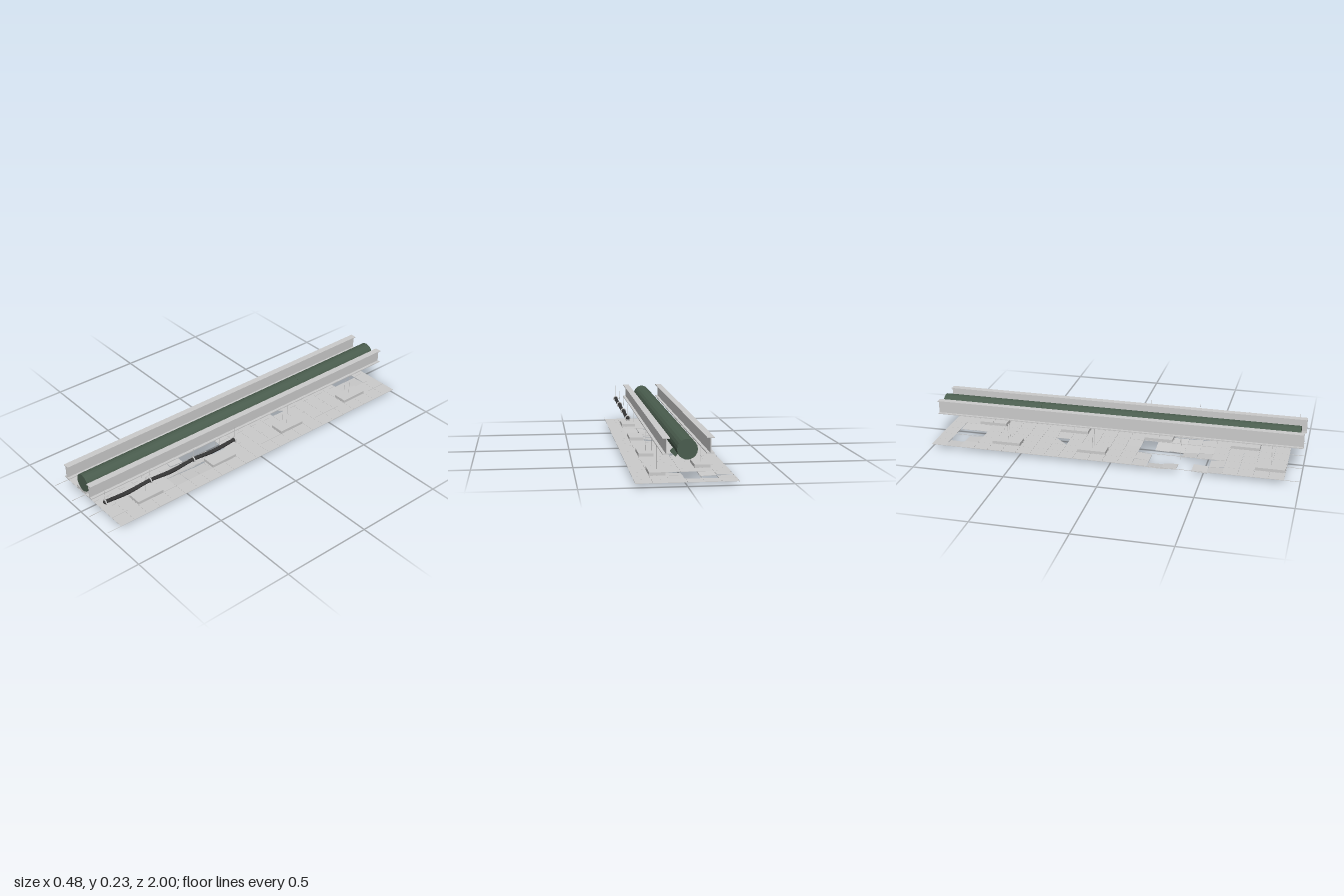
import * as THREE from 'three';

const grey = new THREE.MeshStandardMaterial({ color: 0xcccccc, side: THREE.DoubleSide });
const green = new THREE.MeshStandardMaterial({ color: 0x4a5d4e, flatShading: true });
const dark = new THREE.MeshStandardMaterial({ color: 0x383838 });

export function createModel() {
  const root = new THREE.Group();
  const add = (name, geo, mat, x = 0, y = 0, z = 0) => {
    const m = new THREE.Mesh(geo, mat);
    m.name = name;
    m.position.set(x, y, z);
    root.add(m);
    return m;
  };
  const box = (name, w, h, d, x, y, z, mat = grey) =>
    add(name, new THREE.BoxGeometry(w, h, d), mat, x, y, z);
  const wire = (name, x, y0, y1, z) =>
    box(name, 0.0012, y1 - y0, 0.0012, x, (y0 + y1) / 2, z);

  // I-beams: one section extruded along z
  const section = new THREE.Shape();
  const half = [[0.0175, 0.152], [0.0175, 0.1565], [0.0025, 0.1565],
    [0.0025, 0.2235], [0.0175, 0.2235], [0.0175, 0.228]];
  const outline = [...half, ...half.map(([x, y]) => [-x, y]).reverse()];
  section.setFromPoints(outline.map(([x, y]) => new THREE.Vector2(x, y)));
  for (const x of [-0.1055, 0.0985]) {
    add('beam', new THREE.ExtrudeGeometry(section, { depth: 2, bevelEnabled: false }), grey, x, 0, -1);
  }

  // Round duct in two lengths, with pairs of slanted saddle blocks
  for (const [z0, z1] of [[-1, -0.4345], [-0.4335, 0.975]]) {
    const geo = new THREE.CylinderGeometry(0.048, 0.048, z1 - z0, 20).rotateX(Math.PI / 2);
    add('duct', geo, green, 0.002, 0.175, (z0 + z1) / 2);
  }
  for (const z of [-0.855, 0.085, 0.93]) {
    for (const s of [-1, 1]) {
      const b = box('ductSaddle', 0.028, 0.036, 0.048, 0.002 + s * 0.036, 0.141, z, green);
      b.rotation.z = s * Math.PI / 4;
    }
  }

  // Ceiling grid runners
  for (const x of [-0.24, -0.08, 0.08, 0.24]) {
    box('gridRunner', 0.002, 0.002, 2, x - 0.001, 0.0215, 0);
  }

  // Ceiling tiles: 24 rows by 6 columns, some missing, some hanging loose
  const missing = new Set(['1,1', '1,2', '2,2', '14,2', '14,3', '15,1', '16,1', '17,1',
    '15,2', '16,2', '17,0', '18,1']);
  const loose = { // tilt about x, tilt about z, drop
    '14,0': [0.05, -0.03, 0.003], '15,0': [0.02, -0.15, 0.012], '16,0': [-0.06, -0.08, 0.007],
    '18,0': [0.05, 0.04, 0.003], '19,0': [-0.05, -0.06, 0.004], '14,1': [0.08, 0, 0.003],
    '19,1': [-0.09, 0.02, 0.004], '17,2': [-0.06, -0.12, 0.007], '18,2': [-0.07, -0.08, 0.006],
    '15,3': [0.02, 0.15, 0.012], '16,3': [0.05, 0.13, 0.011], '17,3': [-0.04, 0.12, 0.01],
    '18,3': [-0.05, 0.06, 0.006], '13,2': [0.04, 0, 0.002], '13,3': [0.04, 0.02, 0.002],
    '15,4': [0.04, 0.1, 0.008], '16,4': [0, 0.12, 0.009], '17,4': [-0.05, 0.08, 0.007],
    '18,4': [-0.06, 0.04, 0.004], '1,0': [0.03, -0.06, 0.003], '2,1': [-0.05, -0.04, 0.003],
    '1,3': [0, 0.06, 0.003], '2,3': [0.03, 0.05, 0.003],
  };
  const tileGeo = new THREE.BoxGeometry(0.0792, 0.0015, 0.0792);
  const corner = new THREE.Shape();
  corner.moveTo(-0.0396, 0.0396);
  corner.lineTo(0.0396, 0.0396);
  corner.lineTo(-0.0396, -0.0396);
  const brokenGeo = new THREE.ExtrudeGeometry(corner, { depth: 0.0015, bevelEnabled: false })
    .rotateX(-Math.PI / 2);
  for (let r = 0; r < 24; r++) {
    for (let c = 0; c < 6; c++) {
      const key = `${r},${c}`;
      if (missing.has(key)) continue;
      const broken = key === '8,2';
      const [tx, tz, drop] = loose[key] || [0, 0, 0];
      const t = add(broken ? 'brokenTile' : 'ceilingTile', broken ? brokenGeo : tileGeo, grey,
        -0.201 + c * 0.08, 0.0215 - drop, -0.96 + r * 0.08);
      t.rotation.set(tx, 0, tz);
    }
  }

  // Light boxes on pairs of hanger wires; one box has fallen out
  for (const [x, wires, centres] of [
    [-0.12, [-0.121, -0.088], [0.84, 0.36, -0.12, -0.6]],
    [0.12, [0.081, 0.115], [0.68, 0.2, -0.28, -0.76]],
  ]) {
    for (const z of centres) {
      if (z !== 0.36) box('lightBox', 0.077, 0.016, 0.156, x, 0.03, z);
      for (const wx of wires) wire('lightHanger', wx, z === 0.36 ? 0.022 : 0.038, 0.153, z);
    }
  }

  // Sagging cable bundle with round clamps on wires
  const clamps = [0.14, 0.4125, 0.685, 0.955];
  const cx = 0.167, cy = 0.147;
  for (const [dx, dy, sag] of [[-0.0045, 0.002, 0.007], [0.0045, 0.002, 0.009], [0, -0.004, 0.011]]) {
    const pts = [];
    clamps.forEach((z, i) => {
      pts.push(new THREE.Vector3(cx + dx, cy + dy, z));
      if (i < 3) pts.push(new THREE.Vector3(cx + dx, cy + dy - sag, (z + clamps[i + 1]) / 2));
    });
    add('cable', new THREE.TubeGeometry(new THREE.CatmullRomCurve3(pts), 48, 0.0055, 8), dark);
  }
  for (const z of clamps) {
    add('cableClamp', new THREE.TorusGeometry(0.0125, 0.0035, 8, 20), grey, cx, cy, z);
    add('cableCore', new THREE.SphereGeometry(0.0105, 12, 8), dark, cx, cy, z);
    wire('cableHanger', cx, cy + 0.012, 0.228, z);
  }
  return root;
}
